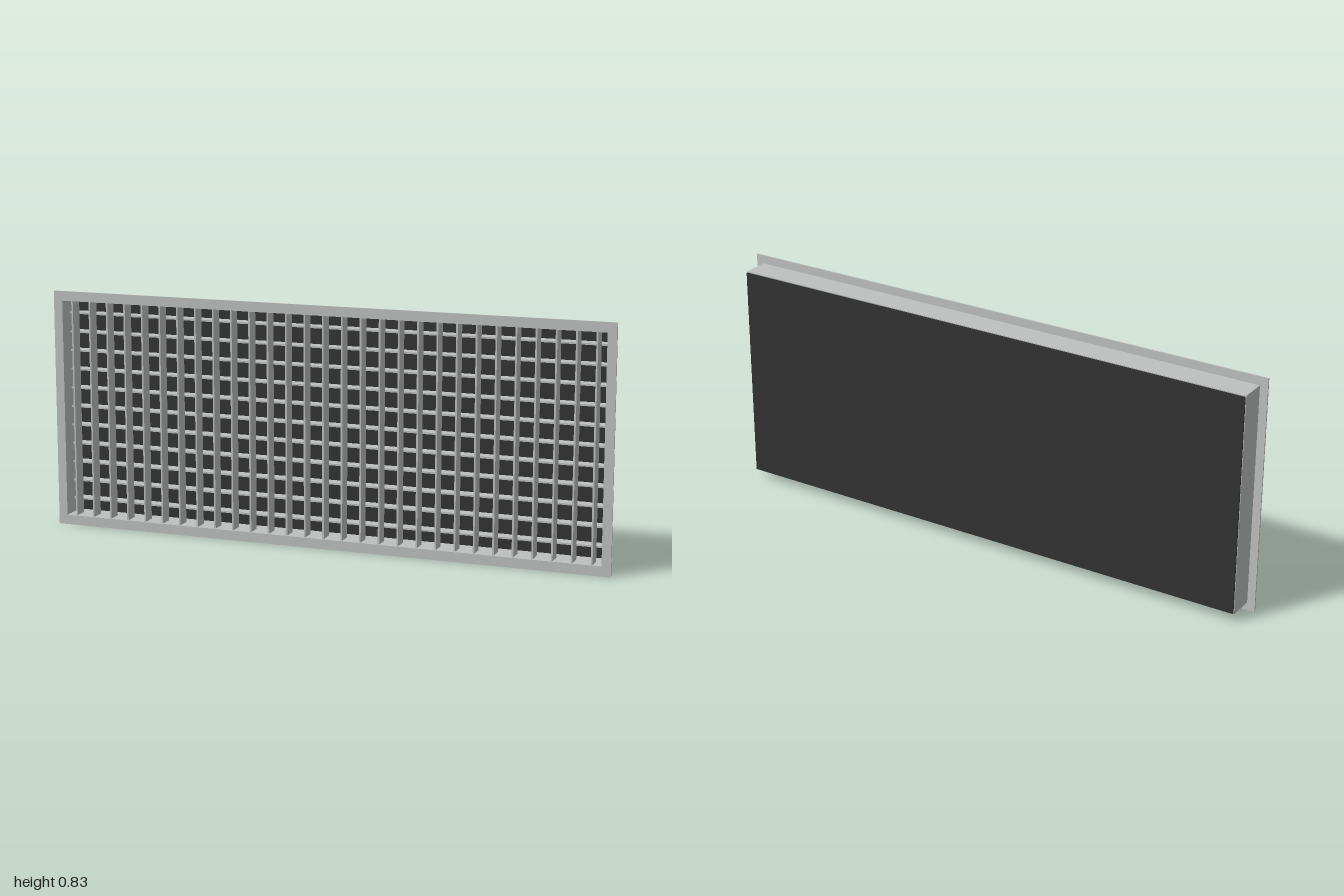
import * as THREE from 'three';

export function createModel() {
  const group = new THREE.Group();
  group.name = 'ventGrille';
  const metal = new THREE.MeshStandardMaterial({ name: 'paleGreyMetal', color: 0xbec1c0 });
  const dark = new THREE.MeshStandardMaterial({ name: 'darkBacking', color: 0x333333 });

  const H = 0.834, CY = H / 2, PITCH = 0.0667;
  const IN_W = 1.936, IN_H = 0.766;      // clear opening
  const BOX_W = 1.944, BOX_H = 0.774;    // outside of the duct collar

  // Rectangular ring, extruded from z0 to z1
  function ring(name, w, h, iw, ih, z0, z1) {
    const rect = (T, a, b) => new T([
      new THREE.Vector2(-a / 2, -b / 2), new THREE.Vector2(a / 2, -b / 2),
      new THREE.Vector2(a / 2, b / 2), new THREE.Vector2(-a / 2, b / 2)]);
    const shape = rect(THREE.Shape, w, h);
    shape.holes.push(rect(THREE.Path, iw, ih));
    const geo = new THREE.ExtrudeGeometry(shape, { depth: z1 - z0, bevelEnabled: false });
    const mesh = new THREE.Mesh(geo, metal);
    mesh.name = name;
    mesh.position.set(0, CY, z0);
    group.add(mesh);
  }

  function box(name, w, h, z0, z1, x, y, material, parent = group) {
    const mesh = new THREE.Mesh(new THREE.BoxGeometry(w, h, z1 - z0), material);
    mesh.name = name;
    mesh.position.set(x, y, (z0 + z1) / 2);
    parent.add(mesh);
  }

  // Front flange and the collar behind it
  ring('frontFlange', 2, H, IN_W, IN_H, 0.047, 0.052);
  ring('ductCollar', BOX_W, BOX_H, IN_W, IN_H, -0.047, 0.047);

  // Closing panel at the back
  box('backPanel', 1.94, 0.767, -0.052, -0.047, 0, CY, dark);

  // Upright blades in front
  const uprights = new THREE.Group();
  uprights.name = 'verticalBlades';
  group.add(uprights);
  for (let i = -14; i <= 14; i++) {
    box('verticalBlade', 0.006, IN_H, -0.003, 0.045, i * PITCH, CY, metal, uprights);
  }

  // Level blades behind
  const levels = new THREE.Group();
  levels.name = 'horizontalBlades';
  group.add(levels);
  for (let i = -5; i <= 5; i++) {
    box('horizontalBlade', IN_W, 0.006, -0.046, -0.003, 0, CY + i * PITCH, metal, levels);
  }

  return group;
}
